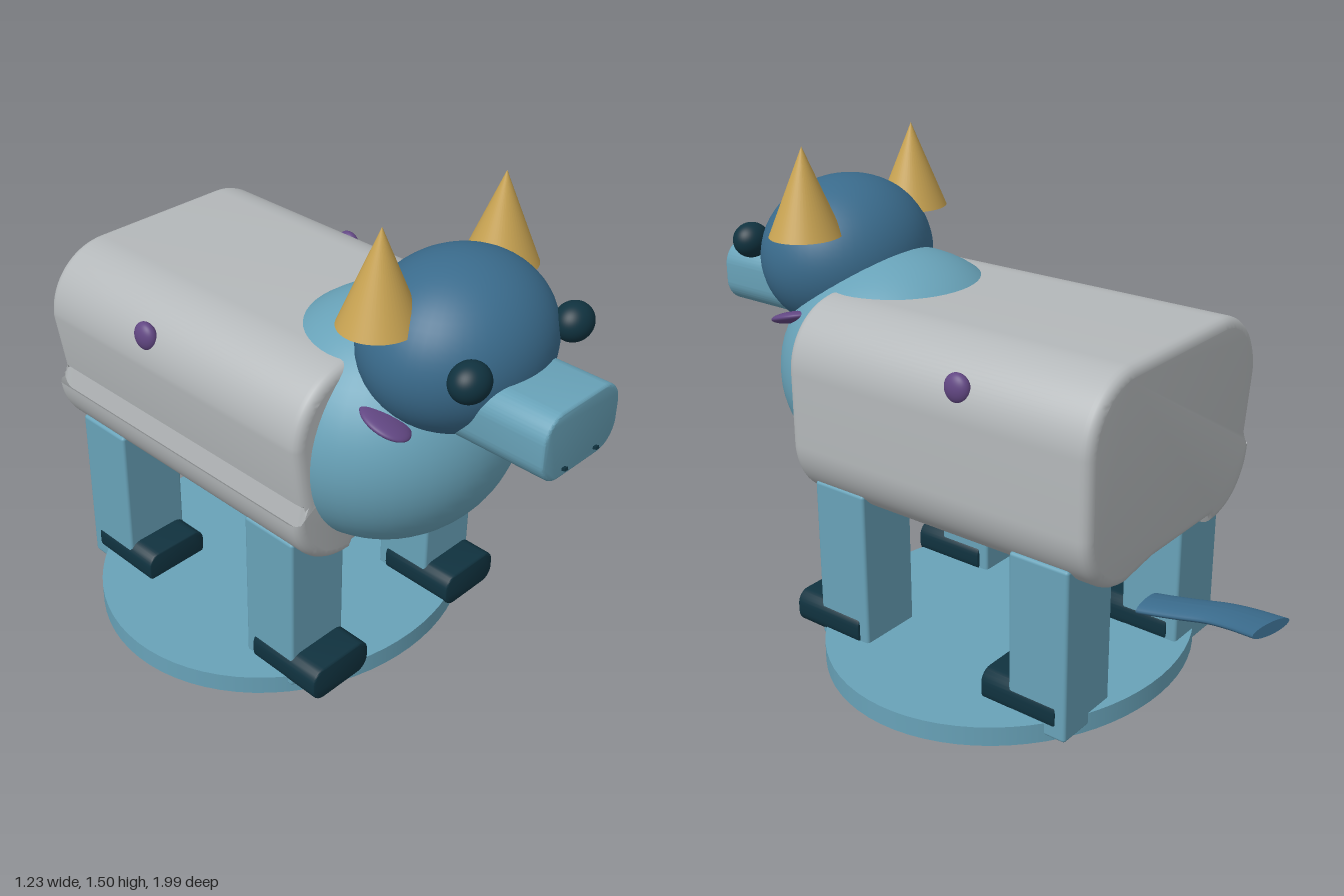
import * as THREE from 'three';
import { toCreasedNormals } from 'three/addons/utils/BufferGeometryUtils.js';
import { RoundedBoxGeometry } from 'three/addons/geometries/RoundedBoxGeometry.js';

function material(name, color, side = THREE.FrontSide) {
  const m = new THREE.MeshStandardMaterial({ color, side });
  m.name = name;
  return m;
}

// Rounded rectangle outline centred on the origin
function roundedRect(w, h, r) {
  const s = new THREE.Shape();
  const x = w / 2, y = h / 2;
  s.absarc(x - r, y - r, r, 0, Math.PI / 2);
  s.absarc(-x + r, y - r, r, Math.PI / 2, Math.PI);
  s.absarc(-x + r, -y + r, r, Math.PI, Math.PI * 1.5);
  s.absarc(x - r, -y + r, r, Math.PI * 1.5, Math.PI * 2);
  s.closePath();
  return s;
}

// Prism along z from z0 to z1, with a small rounded rim that adds to the outline
function prism(shape, z0, z1, bevel, curveSegments = 12) {
  const g = new THREE.ExtrudeGeometry(shape, {
    depth: z1 - z0 - 2 * bevel, bevelEnabled: bevel > 0,
    bevelSize: bevel, bevelThickness: bevel, bevelSegments: 4, curveSegments,
  });
  g.translate(0, 0, z0 + bevel);
  return toCreasedNormals(g, 0.6);
}

export function createModel() {
  const model = new THREE.Group();
  model.name = 'bull';

  const teal = material('light teal', 0x68a2b8);
  const blue = material('deep blue', 0x3a6b8c, THREE.DoubleSide);
  const grey = material('light grey', 0xb4b8ba);
  const gold = material('horn gold', 0xc8a352);
  const purple = material('purple', 0x624783);
  const dark = material('dark teal', 0x10323f);

  function add(name, geometry, mat, x = 0, y = 0, z = 0) {
    const mesh = new THREE.Mesh(geometry, mat);
    mesh.name = name;
    mesh.position.set(x, y, z);
    model.add(mesh);
    return mesh;
  }
  function ellipsoid(name, mat, pos, radii) {
    const mesh = add(name, new THREE.SphereGeometry(1, 48, 32), mat, ...pos);
    mesh.scale.set(...radii);
    return mesh;
  }

  // Oval base
  add('base', new THREE.CylinderGeometry(1, 1, 0.06, 72), teal, 0, 0.03, -0.055)
    .scale.set(0.613, 1, 0.545);

  // Barrel body with a shallow groove on the right flank and underside
  const outline = new THREE.Shape();
  const r = 0.17;
  outline.moveTo(0.2, 0.5);
  outline.absarc(0.4 - r, 0.5 + r, r, Math.PI * 1.5, Math.PI * 2);
  outline.absarc(0.4 - r, 1.06 - r, r, 0, Math.PI / 2);
  outline.absarc(-0.4 + r, 1.06 - r, r, Math.PI / 2, Math.PI);
  outline.lineTo(-0.37, 0.7);
  outline.lineTo(-0.4, 0.66);
  outline.absarc(-0.4 + r, 0.5 + r, r, Math.PI, Math.PI * 1.5);
  outline.lineTo(-0.22, 0.52);
  outline.lineTo(0.1, 0.52);
  outline.closePath();
  add('body', prism(outline, -0.615, 0.435, 0.03), grey);

  // Chest, head and muzzle
  ellipsoid('chest', teal, [0, 0.813, 0.365], [0.39, 0.358, 0.367]);
  ellipsoid('head', blue, [0, 1.13, 0.587], [0.285, 0.24, 0.247]);
  add('muzzle', prism(roundedRect(0.29, 0.18, 0.065), 0.65, 0.985, 0.008), teal, 0, 1.025, 0);

  for (const side of [1, -1]) {
    const label = side > 0 ? 'left' : 'right';
    ellipsoid(label + 'Eye', dark, [side * 0.208, 1.176, 0.793], [0.059, 0.054, 0.052]);

    // Upright horn
    add(label + 'Horn', new THREE.ConeGeometry(1, 0.26, 48), gold, side * 0.237, 1.37, 0.525)
      .scale.set(0.112, 1, 0.104);

    // Collar tab where the head meets the chest
    const tab = ellipsoid(label + 'CollarTab', purple,
      [side * 0.255, 0.983, 0.575], [0.06, 0.018, 0.078]);
    tab.rotation.set(0.3, 0, side * 0.2);

    // Round flank marking
    ellipsoid(label + 'FlankSpot', purple, [side * 0.408, 0.982, -0.182], [0.026, 0.043, 0.041]);

    // Mouth corner sliver
    const sliver = add(label + 'MouthCorner', new THREE.BoxGeometry(0.012, 0.008, 0.13),
      dark, side * 0.065, 0.937, 0.933);
    sliver.rotation.x = -0.28;

    // Legs with hooves: [name, leg back z, leg front z, leg bottom y, hoof back z, hoof front z]
    for (const [name, z0, z1, y0, h0, h1] of [
      ['Front', 0.19, 0.38, 0.03, 0.222, 0.477],
      ['Back', -0.537, -0.343, 0.02, -0.505, -0.248],
    ]) {
      const w = name === 'Back' ? 0.217 : 0.208;
      add(label + name + 'Leg', new RoundedBoxGeometry(w, 0.55 - y0, z1 - z0, 3, 0.01),
        teal, side * 0.29, (0.55 + y0) / 2, (z0 + z1) / 2);
      add(label + name + 'Hoof', prism(roundedRect(0.21, 0.095, 0.035), h0, h1, 0.007, 3),
        dark, side * 0.29, 0.09, 0);
    }
  }

  // Flattened tail: a level tube bent sideways, then squashed and lifted toward the tip
  const path = new THREE.CatmullRomCurve3([
    [0, -0.54], [0, -0.67], [0.004, -0.77], [0.03, -0.86], [0.078, -0.965],
  ].map(([x, z]) => new THREE.Vector3(x, 0, z)));
  const lift = (g) => {
    const p = g.attributes.position;
    for (let i = 0; i < p.count; i++) {
      const t = Math.min(1, Math.max(0, (-0.54 - p.getZ(i)) / 0.45));
      p.setY(i, p.getY(i) * 0.33 + 0.28 + 0.08 * t + 0.04 * t * t);
    }
    g.computeVertexNormals();
    return g;
  };
  add('tail', lift(new THREE.TubeGeometry(path, 40, 0.06, 24)), blue);
  for (const [name, t] of [['tailRoot', 0], ['tailTip', 1]]) {
    const cap = new THREE.CircleGeometry(0.06, 24);
    const direction = path.getTangentAt(t).multiplyScalar(t ? 1 : -1);
    cap.applyQuaternion(new THREE.Quaternion().setFromUnitVectors(new THREE.Vector3(0, 0, 1), direction));
    const end = path.getPointAt(t);
    cap.translate(end.x, end.y, end.z);
    add(name, lift(cap), blue);
  }

  return model;
}
